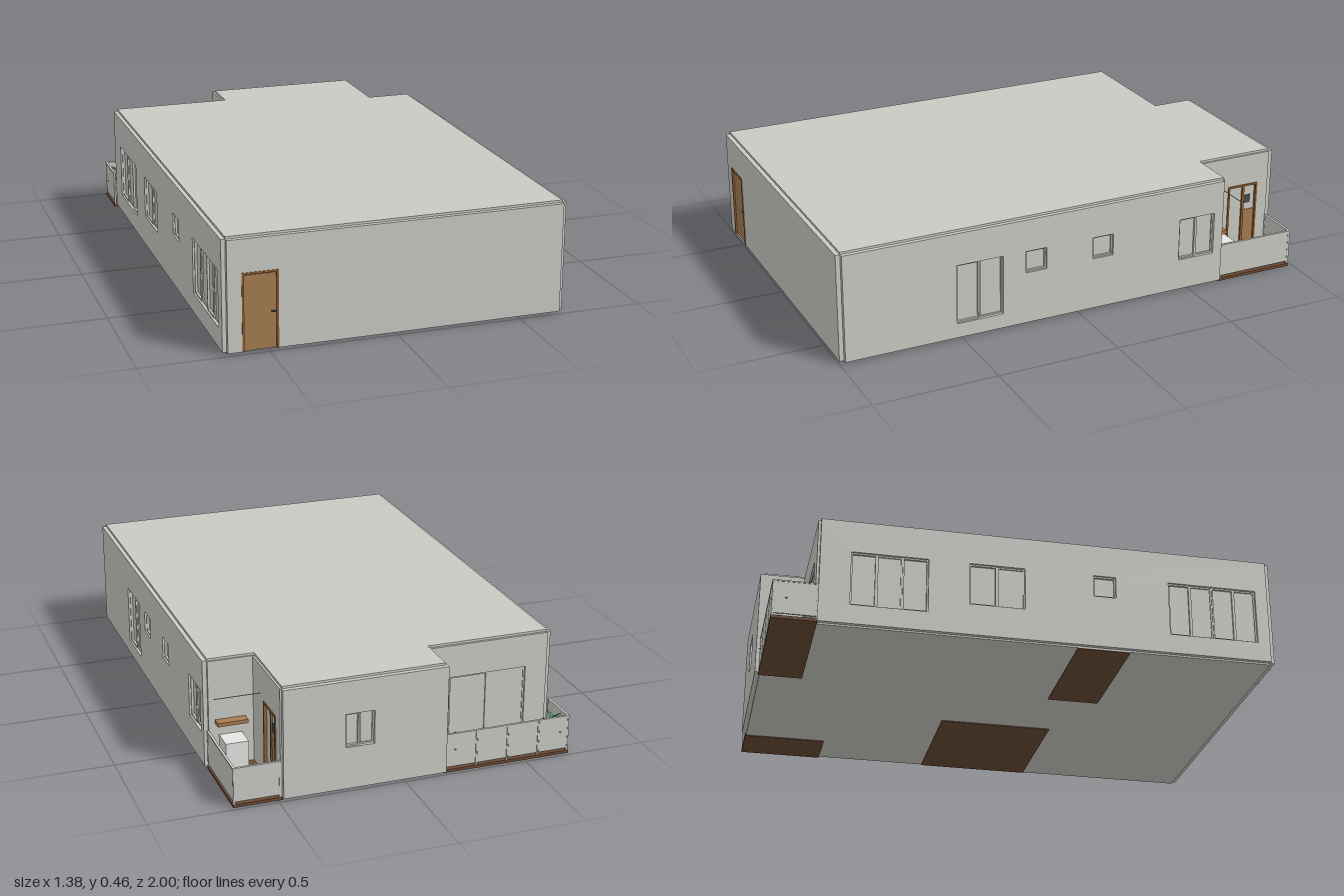
import * as THREE from 'three';

const mat = (name, hex) => {
  const m = new THREE.MeshStandardMaterial({ color: hex });
  m.name = name;
  return m;
};

export function createModel() {
  const house = new THREE.Group();
  house.name = 'house';
  const plaster = mat('plaster', 0xcacac5);
  const wood = mat('door wood', 0xa67c52);
  const frameWood = mat('frame wood', 0x95602f);
  const deck = mat('deck brown', 0x6b4a33);
  const white = mat('white', 0xe6e6e4);
  const dark = mat('dark metal', 0x4a4a48);
  const green = mat('leaf green', 0x4fa878);
  const darkGreen = mat('dark leaf green', 0x2f704c);
  green.side = darkGreen.side = THREE.DoubleSide;

  const add = (parent, name, geo, material, x = 0, y = 0, z = 0) => {
    const m = new THREE.Mesh(geo, material);
    m.name = name;
    m.position.set(x, y, z);
    parent.add(m);
    return m;
  };
  // Box given by its limits on each axis
  const box = (parent, name, material, x0, x1, y0, y1, z0, z1) =>
    add(parent, name, new THREE.BoxGeometry(x1 - x0, y1 - y0, z1 - z0), material,
      (x0 + x1) / 2, (y0 + y1) / 2, (z0 + z1) / 2);
  const rect = (Type, u0, u1, y0, y1) => {
    const s = new Type();
    s.moveTo(u0, y0); s.lineTo(u1, y0); s.lineTo(u1, y1); s.lineTo(u0, y1); s.closePath();
    return s;
  };

  // Main block with a notch at each back corner, as [x, z] plan
  const plan = [[-0.66, 0.98], [0.665, 0.98], [0.665, -0.65], [0.48, -0.65],
    [0.48, -0.98], [-0.16, -0.98], [-0.16, -0.81], [-0.66, -0.81]];
  const core = new THREE.ExtrudeGeometry(
    new THREE.Shape(plan.map(([x, z]) => new THREE.Vector2(x, -z))), { depth: 0.453, bevelEnabled: false });
  core.rotateX(-Math.PI / 2);
  add(house, 'mainBlock', core, plaster, 0, 0.003, 0);

  // Outer wall layer with openings, in a group turned to face outward;
  // openings are [u0, u1, y0, y1, number of sliding panes]
  const wall = (name, angle, offset, t, u0, u1, openings = []) => {
    const g = new THREE.Group();
    g.name = name;
    g.rotation.y = angle;
    g.position.set(Math.sin(angle) * offset, 0, Math.cos(angle) * offset);
    house.add(g);
    const s = rect(THREE.Shape, u0, u1, 0.01, 0.447);
    for (const o of openings) s.holes.push(rect(THREE.Path, o[0], o[1], o[2], o[3]));
    add(g, name + 'Skin', new THREE.ExtrudeGeometry(s, { depth: t, bevelEnabled: false }), plaster);
    for (const [a, b, y0, y1, n] of openings) {
      const w = (b - a) / (n || 1);
      for (let i = 0; i < n; i++) {
        const l = a + i * w, r = l + w, d = t * (i % 2 ? 0.3 : 0.55), e = 0.006;
        const sash = rect(THREE.Shape, l, r, y0, y1);
        sash.holes.push(rect(THREE.Path, l + e, r - e, y0 + e, y1 - e));
        add(g, 'windowSash', new THREE.ExtrudeGeometry(sash, { depth: d, bevelEnabled: false }), plaster);
      }
    }
    return g;
  };

  const front = wall('frontWall', 0, 0.98, 0.018, -0.66, 0.665, [[-0.605, -0.465, 0.012, 0.317, 0]]);
  wall('leftWall', Math.PI / 2, 0.665, 0.017, -0.98, 0.645, [
    [-0.525, -0.33, 0.07, 0.315, 2], [-0.235, -0.145, 0.225, 0.315, 1],
    [0.055, 0.145, 0.225, 0.315, 1], [0.445, 0.605, 0.14, 0.315, 2]]);
  wall('rightWall', -Math.PI / 2, 0.66, 0.016, -0.81, 0.98, [
    [-0.69, -0.39, 0.09, 0.315, 3], [-0.23, -0.01, 0.14, 0.315, 2],
    [0.265, 0.355, 0.225, 0.315, 1], [0.57, 0.93, 0.09, 0.315, 4]]);
  wall('backWall', Math.PI, 0.98, 0.019, -0.482, 0.168, [[-0.24, -0.125, 0.18, 0.315, 2]]);
  wall('largeBalconyWall', Math.PI, 0.81, 0.01, 0.165, 0.66, [[0.25, 0.57, 0.014, 0.315, 2]]);
  wall('largeBalconySideWall', -Math.PI / 2, 0.16, 0.008, -0.98, -0.82);
  wall('smallBalconyWall', Math.PI, 0.65, 0.006, -0.665, -0.488);
  const side = wall('smallBalconySideWall', Math.PI / 2, 0.48, 0.008, 0.656, 0.98, [[0.79, 0.93, 0.014, 0.318, 0]]);

  // Wooden door frame around an opening
  const doorFrame = (g, a, b, top, z) => {
    box(g, 'doorJamb', frameWood, a, a + 0.008, 0.01, top, 0, z);
    box(g, 'doorJamb', frameWood, b - 0.008, b, 0.01, top, 0, z);
    box(g, 'doorHead', frameWood, a, b, top - 0.008, top, 0, z);
  };
  doorFrame(front, -0.605, -0.465, 0.317, 0.02);
  box(front, 'frontDoor', wood, -0.597, -0.473, 0.012, 0.305, 0, 0.013);
  box(front, 'doorHandle', dark, -0.492, -0.477, 0.153, 0.158, 0.013, 0.02);

  // Balcony door, with a cupboard and a dark appliance behind the opening
  doorFrame(side, 0.79, 0.93, 0.318, 0.012);
  box(side, 'doorPost', frameWood, 0.86, 0.87, 0.012, 0.31, 0, 0.008);
  box(side, 'cupboardFront', wood, 0.87, 0.922, 0.02, 0.2, 0, 0.003);
  box(side, 'applianceFront', dark, 0.873, 0.902, 0.23, 0.265, 0, 0.004);

  // Brown floors of the balconies and the two wet rooms, flush underneath
  box(house, 'largeBalconyFloor', deck, -0.688, -0.16, 0, 0.012, -0.985, -0.81);
  box(house, 'smallBalconyFloor', deck, 0.48, 0.672, 0, 0.012, -0.985, -0.645);
  box(house, 'leftRoomFloor', deck, 0.15, 0.665, 0, 0.006, -0.185, 0.28);
  box(house, 'rightRoomFloor', deck, -0.66, -0.16, 0, 0.006, 0.2, 0.41);

  // Balcony railings: panels between slim posts under a rail; axis is 'x' or 'z'
  const railing = (name, axis, a, b, fixed, n) => {
    const g = new THREE.Group();
    g.name = name;
    house.add(g);
    const bar = (part, material, p, q, y0, y1, t) => axis === 'x'
      ? box(g, part, material, p, q, y0, y1, fixed - t, fixed + t)
      : box(g, part, material, fixed - t, fixed + t, y0, y1, p, q);
    const w = (b - a) / n;
    for (let i = 0; i < n; i++) bar('railPanel', plaster, a + i * w + 0.004, a + (i + 1) * w - 0.004, 0.022, 0.156, 0.003);
    for (let i = 0; i <= n; i++) {
      const p = Math.min(Math.max(a + i * w, a + 0.003), b - 0.003);
      bar('railPost', plaster, p - 0.003, p + 0.003, 0.01, 0.158, 0.004);
    }
    bar('topRail', plaster, a, b, 0.155, 0.16, 0.005);
  };
  railing('largeBalconyBackRail', 'x', -0.686, -0.168, -0.98, 4);
  railing('largeBalconySideRail', 'z', -0.98, -0.81, -0.683, 1);
  railing('smallBalconyBackRail', 'x', 0.488, 0.67, -0.98, 1);
  railing('smallBalconySideRail', 'z', -0.98, -0.65, 0.667, 1);

  // Round table with two stools on the large balcony
  for (const [name, x, r, h] of [['table', -0.43, 0.044, 0.085], ['stool', -0.49, 0.028, 0.05], ['stool', -0.37, 0.028, 0.05]]) {
    add(house, name + 'Top', new THREE.CylinderGeometry(r, r, 0.006, 28), deck, x, h, -0.9);
    add(house, name + 'Leg', new THREE.CylinderGeometry(0.006, 0.012, h, 12), deck, x, h / 2, -0.9);
  }

  // Potted plants with arching leaves
  const leaf = new THREE.PlaneGeometry(0.022, 0.06, 2, 4);
  leaf.translate(0, 0.03, 0);
  const lp = leaf.attributes.position;
  for (let i = 0; i < lp.count; i++) {
    const k = lp.getY(i) / 0.06;
    lp.setX(i, lp.getX(i) * (0.1 + Math.sin(Math.PI * k)));
    lp.setZ(i, 0.03 * k * k);
  }
  leaf.computeVertexNormals();
  for (const [px, pz, s] of [[-0.64, -0.935, 1], [-0.2, -0.945, 0.85]]) {
    const plant = new THREE.Group();
    plant.name = 'pottedPlant';
    plant.position.set(px, 0.012, pz);
    house.add(plant);
    add(plant, 'pot', new THREE.CylinderGeometry(0.024, 0.017, 0.05, 16), white, 0, 0.025, 0);
    add(plant, 'stem', new THREE.CylinderGeometry(0.004, 0.005, 0.08, 8), darkGreen, 0, 0.08, 0);
    for (let i = 0; i < 18; i++) {
      const m = add(plant, 'leaf', leaf, i % 3 ? green : darkGreen, 0, 0.06 + 0.0035 * i, 0);
      m.rotation.set(1.15 - 0.05 * i, i * 2.4, 0, 'YXZ');
      m.scale.setScalar(s * (0.95 - 0.02 * i));
    }
  }

  // Laundry corner on the small balcony: cabinet, wall shelf, drying rod
  box(house, 'washCabinet', white, 0.535, 0.625, 0.012, 0.14, -0.745, -0.656);
  box(house, 'wallShelf', wood, 0.52, 0.64, 0.19, 0.205, -0.695, -0.652);
  const rod = add(house, 'dryingRod', new THREE.CylinderGeometry(0.0018, 0.0018, 0.18, 8), plaster, 0.578, 0.33, -0.742);
  rod.rotation.z = Math.PI / 2;

  return house;
}
